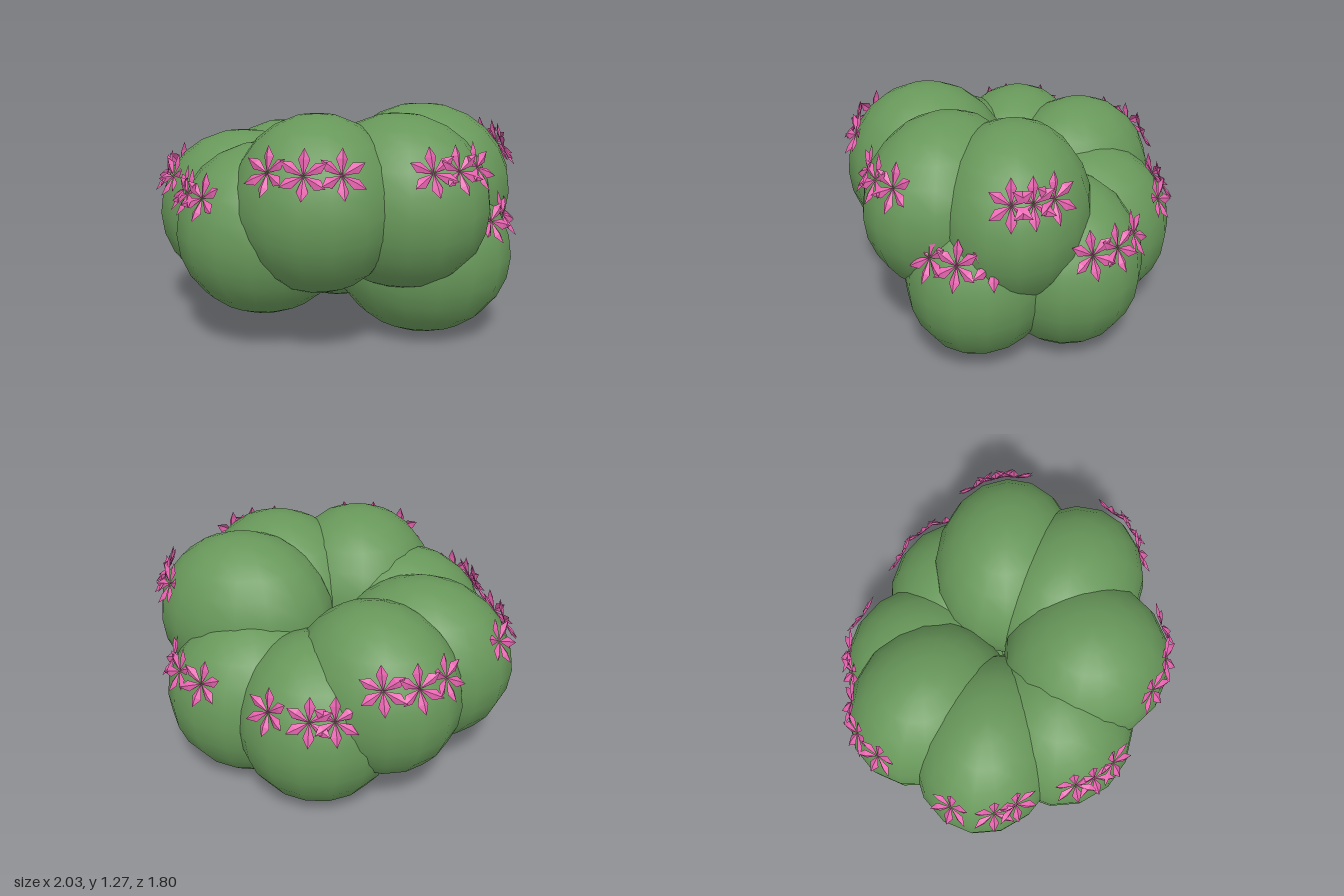
import * as THREE from 'three';

const RADIAL = 0.495, VERTICAL = 0.462, TANGENT = 0.445;

// One flower: six slim folded petals facing +z
function flowerGeometry() {
  const pos = [];
  const petal = [[0, 0, 0], [0.029, 0.08, 0.006], [0, 0.13, 0.024], [-0.029, 0.08, 0.006]];
  const ridge = [0, 0.076, 0.022];
  for (let i = 0; i < 6; i++) {
    const a = (i * Math.PI) / 3;
    const turn = ([x, y, z]) => [x * Math.cos(a) - y * Math.sin(a), x * Math.sin(a) + y * Math.cos(a), z];
    for (let k = 0; k < 4; k++) {
      pos.push(...turn(petal[k]), ...turn(petal[(k + 1) % 4]), ...turn(ridge));
    }
  }
  const geo = new THREE.BufferGeometry();
  geo.setAttribute('position', new THREE.Float32BufferAttribute(pos, 3));
  geo.computeVertexNormals();
  return geo;
}

export function createModel() {
  const green = new THREE.MeshStandardMaterial({ color: 0x68985a });
  green.name = 'cactus green';
  const pink = new THREE.MeshStandardMaterial({ color: 0xe562ae, side: THREE.DoubleSide, flatShading: true });
  pink.name = 'petal pink';

  const lobeGeo = new THREE.SphereGeometry(1, 16, 12).scale(TANGENT, VERTICAL, RADIAL);
  const flowerGeo = flowerGeometry();
  const forward = new THREE.Vector3(0, 0, 1);

  // Angle in degrees from +x towards +z, centre height, reach, sideways flower offsets
  const lobes = [
    { name: 'upperFront', deg: 85, y: 0.808, reach: 0.49, flowers: [-0.16, 0.02, 0.19] },
    { name: 'upperFrontLeft', deg: 30, y: 0.795, reach: 0.49, flowers: [-0.19, -0.06, 0.08] },
    { name: 'upperBackLeft', deg: -19, y: 0.797, reach: 0.49, flowers: [-0.04, 0.07, 0.18] },
    { name: 'middleFront', deg: 123, y: 0.635, reach: 0.495, flowers: [-0.18, -0.08, 0.05] },
    { name: 'middleRight', deg: 172, y: 0.635, reach: 0.51, flowers: [-0.12, 0.12, 0.23] },
    { name: 'middleBack', deg: 222, y: 0.635, reach: 0.525, flowers: [-0.17, 0, 0.17] },
    { name: 'lowerLeft', deg: 1, y: 0.475, reach: 0.5, flowers: [-0.16, 0, 0.18] },
    { name: 'lowerBackLeft', deg: -54, y: 0.462, reach: 0.515, flowers: [-0.15, 0, 0.17] },
    { name: 'lowerBack', deg: -103, y: 0.464, reach: 0.518, flowers: [-0.17, 0.04, 0.16] },
  ];

  const model = new THREE.Group();
  model.name = 'floweringCactus';
  const body = new THREE.Group();
  body.name = 'lobeCluster';
  body.scale.z = 0.9;
  model.add(body);

  for (const { name, deg, y: height, reach, flowers } of lobes) {
    const a = THREE.MathUtils.degToRad(deg);
    const group = new THREE.Group();
    group.name = `${name}Lobe`;
    group.position.set(Math.cos(a) * reach, height, Math.sin(a) * reach);
    group.rotation.y = Math.PI / 2 - a;
    body.add(group);

    const lobe = new THREE.Mesh(lobeGeo, green);
    lobe.name = 'lobe';
    group.add(lobe);

    // Row of flowers on the outer upper face, tipped slightly upward
    flowers.forEach((x, k) => {
      const y = 0.228;
      const z = RADIAL * Math.sqrt(1 - (x / TANGENT) ** 2 - (y / VERTICAL) ** 2);
      const facing = new THREE.Vector3(x / TANGENT ** 2, (0.75 * y) / VERTICAL ** 2, z / RADIAL ** 2).normalize();
      const flower = new THREE.Mesh(flowerGeo, pink);
      flower.name = `flower${k + 1}`;
      flower.position.set(x, y, z).addScaledVector(facing, 0.01);
      flower.quaternion.setFromUnitVectors(forward, facing);
      group.add(flower);
    });
  }
  return model;
}
